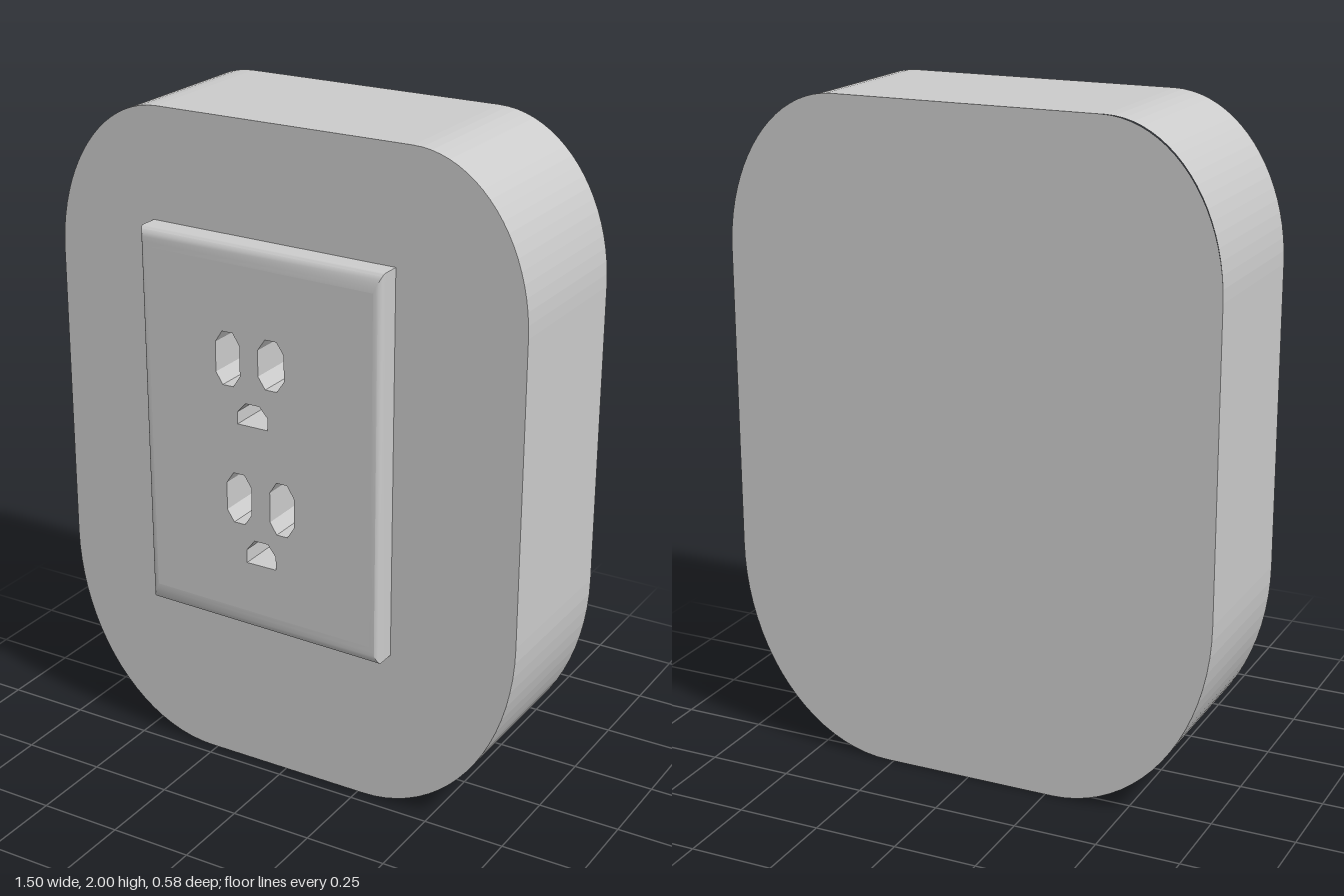
import * as THREE from 'three';
import { toCreasedNormals } from 'three/addons/utils/BufferGeometryUtils.js';

const BACK = -0.29, FRONT = 0.21, PLATE = 0.288, FLOOR = 0.08;

// Skin between closed rings of [x, y, z]; counter-clockwise rings rising in z face outward
function loft(rings, crease) {
  const n = rings[0].length, index = [];
  for (let k = 0; k < rings.length - 1; k++) {
    for (let i = 0; i < n; i++) {
      const a = k * n + i, b = k * n + (i + 1) % n;
      index.push(a, b, b + n, a, b + n, a + n);
    }
  }
  const g = new THREE.BufferGeometry();
  g.setAttribute('position', new THREE.Float32BufferAttribute(rings.flat(2), 3));
  g.setIndex(index);
  return toCreasedNormals(g, crease);
}

const atZ = (pts, z) => pts.map(p => [p.x, p.y, z]);
const vec = pairs => pairs.map(([x, y]) => new THREE.Vector2(x, y));

// Flat face with optional holes
function face(pts, z, holes = []) {
  const s = new THREE.Shape(pts);
  s.holes = holes.map(h => new THREE.Path(h));
  return new THREE.ShapeGeometry(s).translate(0, 0, z);
}

// Upright slot with chamfered ends
function slot(x0, x1, y0, y1) {
  const w = (x1 - x0) * 0.28, h = 0.035;
  return vec([[x0 + w, y0], [x1 - w, y0], [x1, y0 + h], [x1, y1 - h],
    [x1 - w, y1], [x0 + w, y1], [x0, y1 - h], [x0, y0 + h]]);
}

// Ground opening: flat bottom, chamfered top
function ground(x0, x1, y0, y1) {
  const w = (x1 - x0) * 0.27, h = (y1 - y0) * 0.45;
  return vec([[x0, y0], [x1, y0], [x1, y1 - h], [x1 - w, y1], [x0 + w, y1], [x0, y1 - h]]);
}

export function createModel() {
  const group = new THREE.Group();
  const flat = new THREE.MeshStandardMaterial({ color: 0xcccccc, flatShading: true });
  const smooth = new THREE.MeshStandardMaterial({ color: 0xcccccc });
  const add = (name, geometry, material = flat, parent = group) => {
    const m = new THREE.Mesh(geometry, material);
    m.name = name;
    parent.add(m);
  };

  const openings = [
    slot(-0.175, -0.095, 1.25, 1.41), slot(-0.035, 0.05, 1.262, 1.41),
    ground(-0.105, -0.005, 1.14, 1.207),
    slot(-0.145, -0.062, 0.83, 0.985), slot(0, 0.08, 0.823, 0.985),
    ground(-0.08, 0.018, 0.71, 0.785),
  ];

  // Body block with elliptical corners, larger at the bottom
  const outline = new THREE.Path();
  const q = Math.PI / 2;
  outline.absellipse(0.27, 0.62, 0.48, 0.62, -q, 0);
  outline.absellipse(0.40, 1.53, 0.35, 0.47, 0, q);
  outline.absellipse(-0.41, 1.53, 0.34, 0.47, q, 2 * q);
  outline.absellipse(-0.27, 0.62, 0.48, 0.62, 2 * q, 3 * q);
  const pts = outline.getPoints(10);
  const body = new THREE.Group();
  body.name = 'body';
  group.add(body);
  add('bodySide', loft([atZ(pts, BACK), atZ(pts, FRONT)], 0.01), flat, body);
  add('bodyFront', face(pts, FRONT, openings), flat, body);
  add('bodyBack', face(pts, 0).rotateY(Math.PI).translate(0, 0, BACK), flat, body);

  // Slightly skewed cover plate with a rounded rim
  const corners = [[-0.422, 0.505], [0.355, 0.49], [0.355, 1.66], [-0.428, 1.67]];
  const inset = (dx, dy) => vec(corners.map(([x, y]) =>
    [x - Math.sign(x) * dx, y + (y < 1 ? dy : -dy)]));
  const rings = [atZ(inset(0, 0), FRONT)];
  for (let i = 0; i <= 6; i++) {
    const a = i / 6 * q, c = 1 - Math.cos(a);
    rings.push(atZ(inset(0.025 * c, 0.055 * c), PLATE - 0.022 * (1 - Math.sin(a))));
  }
  const plate = new THREE.Group();
  plate.name = 'coverPlate';
  group.add(plate);
  add('plateRim', loft(rings, 0.6), smooth, plate);
  add('plateFace', face(inset(0.025, 0.055), PLATE, openings), flat, plate);

  // Recessed openings: inward walls and floor
  openings.forEach((o, i) => {
    const name = i % 3 === 2 ? 'groundOpening' : 'slotOpening';
    add(name + 'Wall', loft([atZ(o, PLATE), atZ(o, FLOOR)], 0.01));
    add(name + 'Floor', face(o, FLOOR));
  });
  return group;
}
